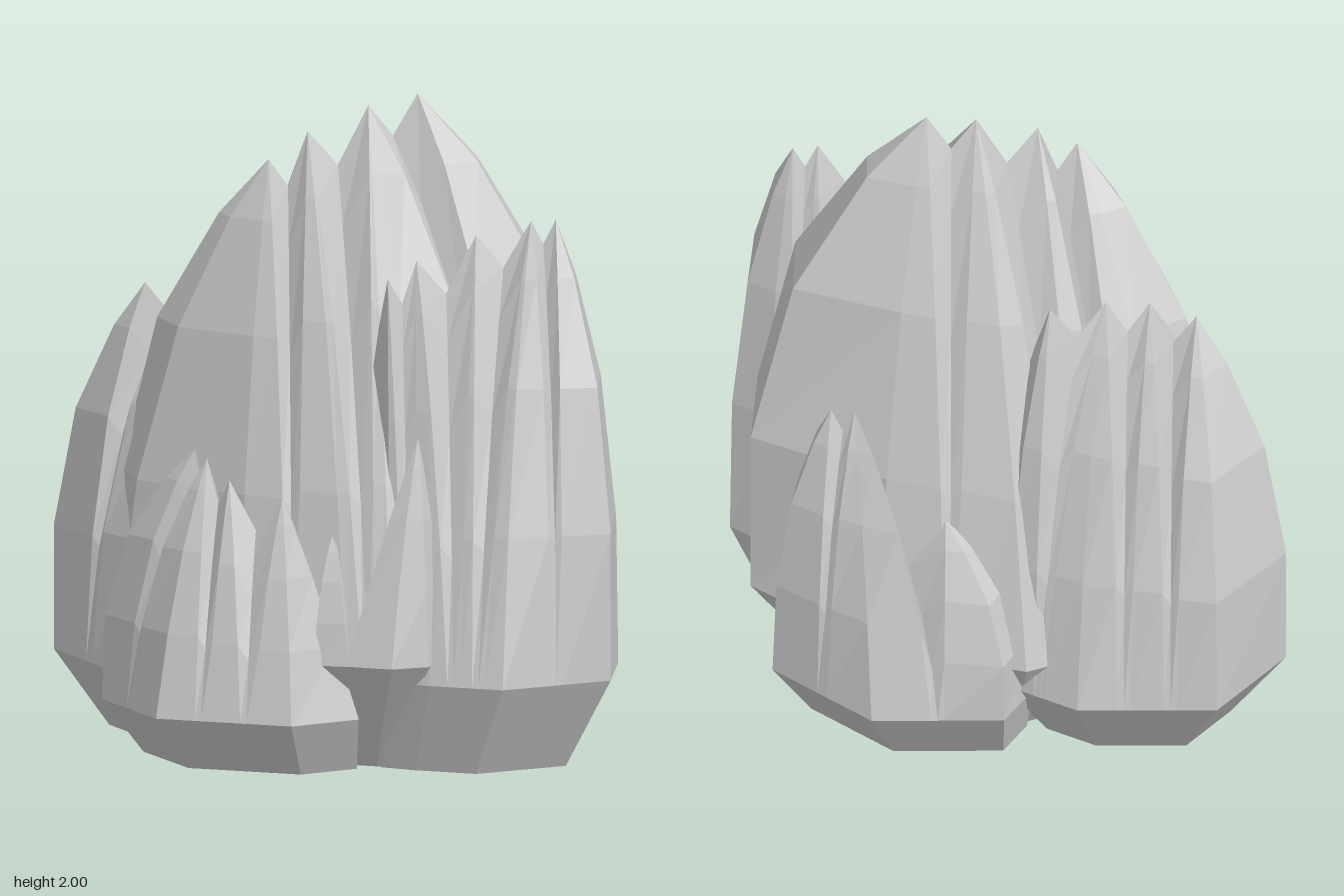
import * as THREE from 'three';

const material = new THREE.MeshStandardMaterial({ color: 0xcccccc, flatShading: true, side: THREE.DoubleSide });
const lerp = THREE.MathUtils.lerp;

// Levels between the widest ring and the peaks: height, bulge, depth of the crevices
const LEVELS = [[0, 0, 0], [0.33, 0.33, 0.02], [0.65, 0.41, 0.07], [0.88, 0.22, 0.14], [1, 0, 0]];

// Low point on the ridge between two neighbouring peaks
function valley(a, b) {
  const gap = Math.hypot(a[0] - b[0], a[2] - b[2]);
  return [(a[0] + b[0]) / 2, Math.min(a[1], b[1]) - 0.05 - 0.3 * Math.min(gap, 0.2), (a[2] + b[2]) / 2];
}

// Columns run up from the outline to a peak; a crevice (lip, groove, lip)
// is cut wherever the outline passes from one peak to the next.
function makeColumns(outline, peaks) {
  const columns = [];
  outline.forEach((a, i) => {
    const b = outline[(i + 1) % outline.length];
    const length = Math.hypot(b[0] - a[0], b[1] - a[1]);
    const add = (u, top, groove) => columns.push({
      x: lerp(a[0], b[0], u), z: lerp(a[1], b[1], u), bulge: lerp(a[3], b[3], u), top, groove,
    });
    add(0, peaks[a[2]], 0);
    const steps = Math.abs(b[2] - a[2]), dir = Math.sign(b[2] - a[2]);
    for (let s = 1; s <= steps; s++) {
      const u = s / (steps + 1), e = Math.min(0.02 / length, 0.3 / (steps + 1));
      const p = peaks[a[2] + dir * (s - 1)], q = peaks[a[2] + dir * s];
      add(u - e, p, 0);
      add(u, valley(p, q), 1);
      add(u + e, q, 0);
    }
  });
  return columns;
}

// One rock: undercut foot shrunk towards a pivot, widest ring, then walls leaning in to a jagged ridge
function rock(name, { wide, foot, pivot = [0, 0], peaks, outline }) {
  const columns = makeColumns(outline, peaks);
  const rings = [columns.map(c => [lerp(pivot[0], c.x, foot), 0, lerp(pivot[1], c.z, foot)])];
  for (const [t, bulge, cut] of LEVELS) {
    rings.push(columns.map(c => {
      const f = (1 - t + bulge * c.bulge) * (1 - cut * c.groove);
      return [lerp(c.top[0], c.x, f), lerp(wide, c.top[1], t), lerp(c.top[2], c.z, f)];
    }));
  }
  const positions = [];
  const n = columns.length;
  const centre = [0, 0, 0];
  rings[0].forEach(p => { centre[0] += p[0] / n; centre[2] += p[2] / n; });
  for (let i = 0; i < n; i++) {
    const k = (i + 1) % n;
    positions.push(...centre, ...rings[0][k], ...rings[0][i]);
    for (let j = 0; j < rings.length - 1; j++) {
      const a = rings[j][i], b = rings[j][k], c = rings[j + 1][k], d = rings[j + 1][i];
      positions.push(...a, ...b, ...c);
      if (j < rings.length - 2 || columns[i].top !== columns[k].top) positions.push(...a, ...c, ...d);
    }
  }
  const geometry = new THREE.BufferGeometry();
  geometry.setAttribute('position', new THREE.Float32BufferAttribute(positions, 3));
  geometry.computeVertexNormals();
  const mesh = new THREE.Mesh(geometry, material);
  mesh.name = name;
  return mesh;
}

// Peaks are x, y, z. Outline corners are x, z, peak number, bulge.
const ROCKS = {
  mainRock: {
    wide: 0.34, foot: 0.66,
    peaks: [[0.16, 2, -0.17], [0.04, 1.97, -0.07], [-0.1, 1.9, 0.07], [-0.19, 1.82, 0.16]],
    outline: [[0.71, -0.2, 0, 1.1], [0.59, -0.51, 0, 1], [0.1, -0.62, 0, 0.35], [-0.38, -0.54, 1, 0.3],
      [-0.68, -0.15, 3, 0.6], [-0.71, 0.14, 3, 0.95], [-0.6, 0.38, 3, 0.6], [-0.1, 0.57, 3, 0.35],
      [0.28, 0.6, 2, 0.3], [0.43, 0.59, 1, 0.25], [0.52, 0.45, 1, 0.25]],
  },
  leftRock: {
    wide: 0.28, foot: 0.83,
    peaks: [[0.68, 1.66, -0.06], [0.62, 1.66, -0.01], [0.48, 1.62, 0.09], [0.34, 1.55, 0.22], [0.28, 1.5, 0.3]],
    outline: [[0.97, 0.16, 0, 1], [0.84, -0.17, 0, 0.9], [0.7, -0.2, 0, 0.7], [0.4, -0.15, 2, 0.5],
      [0.15, 0.1, 3, 0.3], [0.14, 0.3, 4, 0.4], [0.37, 0.48, 4, 0.25], [0.51, 0.49, 3, 0.25], [0.75, 0.47, 1, 0.4]],
  },
  rightRock: {
    wide: 0.23, foot: 0.65, pivot: [-0.48, -0.05],
    peaks: [[-0.32, 1.5, -0.27], [-0.44, 1.48, -0.13], [-0.54, 1.45, -0.03], [-0.66, 1.39, 0.05]],
    outline: [[0, -0.25, 0, 0.2], [-0.27, -0.49, 0, 0.5], [-0.54, -0.51, 1, 0.4], [-0.92, -0.31, 3, 0.9],
      [-0.97, 0.05, 3, 1], [-0.56, 0.42, 2, 0.3], [-0.3, 0.3, 1, 0.2], [-0.1, 0, 0, 0.2]],
  },
  backRock: {
    wide: 0.19, foot: 0.83,
    peaks: [[0.28, 1.12, -0.57], [0.22, 1.11, -0.53], [-0.08, 0.78, -0.5]],
    outline: [[0.5, -0.46, 0, 0.8], [0.42, -0.69, 0, 0.8], [0.02, -0.8, 1, 0.25], [-0.34, -0.61, 2, 0.95],
      [-0.34, -0.42, 2, 0.9], [0, -0.35, 2, 0.3], [0.3, -0.3, 1, 0.2]],
  },
  frontRock: {
    wide: 0.17, foot: 0.83,
    peaks: [[-0.26, 0.97, 0.54], [-0.2, 0.95, 0.58], [-0.12, 0.89, 0.59], [0.05, 0.84, 0.57]],
    outline: [[0.3, 0.55, 3, 0.1], [0.15, 0.35, 3, 0.3], [-0.3, 0.3, 1, 0.3], [-0.58, 0.41, 0, 0.8],
      [-0.58, 0.53, 0, 0.9], [-0.27, 0.8, 1, 0.3], [0.17, 0.76, 3, 0.3]],
  },
  frontShard: {
    wide: 0.34, foot: 0.66,
    peaks: [[0.2, 0.73, 0.53]],
    outline: [[0.29, 0.6, 0, 0.3], [0.28, 0.4, 0, 0.2], [0.12, 0.4, 0, 0.2], [0.18, 0.62, 0, 0.5]],
  },
  sideShard: {
    wide: 0.34, foot: 0.66,
    peaks: [[0.43, 1.03, 0.4]],
    outline: [[0.52, 0.42, 0, 0.5], [0.3, 0.25, 0, 0.2], [0.28, 0.6, 0, 0.1], [0.43, 0.59, 0, 0.2], [0.51, 0.5, 0, 0.5]],
  },
};

export function createModel() {
  const group = new THREE.Group();
  group.name = 'rockFormation';
  for (const [name, spec] of Object.entries(ROCKS)) group.add(rock(name, spec));
  return group;
}
